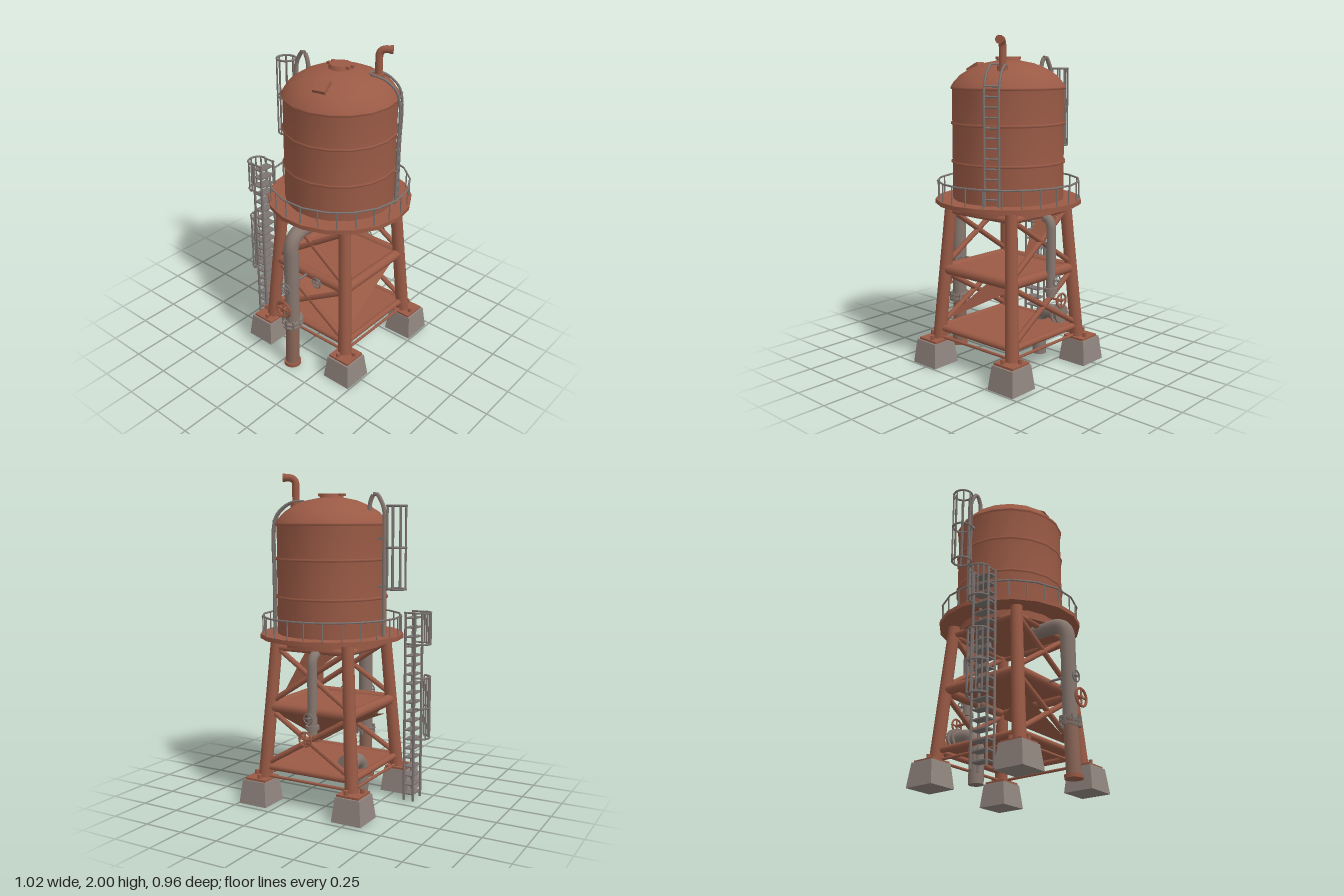
import * as THREE from 'three';

const mat = (name, color) => { const m = new THREE.MeshStandardMaterial({ color }); m.name = name; return m; };
const V = (x, y, z) => new THREE.Vector3(x, y, z);

export function createModel() {
  const rust = mat('rust', 0x9a5a45), pipe = mat('pipeGrey', 0x87776f);
  const stained = mat('stainedPipe', 0x8a6556);
  const steel = mat('steel', 0x7c7471), concrete = mat('concrete', 0x91857f);
  const sheet = mat('rustSheet', 0x9a5a45);
  sheet.side = THREE.DoubleSide;
  const root = new THREE.Group();
  root.name = 'waterTower';
  const CX = 0.07, CZ = -0.045;
  const C = (dx, y, dz) => V(CX + dx, y, CZ + dz);

  const add = (name, geo, m, pos) => {
    const o = new THREE.Mesh(geo, m);
    o.name = name;
    if (pos) o.position.copy(pos);
    root.add(o);
    return o;
  };
  const box = (name, w, h, d, m, pos) => add(name, new THREE.BoxGeometry(w, h, d), m, pos);
  // straight round bar between two points
  const bar = (name, a, b, r, m, seg = 6, r2 = r) => {
    const o = add(name, new THREE.CylinderGeometry(r2, r, a.distanceTo(b), seg), m, a.clone().lerp(b, 0.5));
    o.quaternion.setFromUnitVectors(V(0, 1, 0), b.clone().sub(a).normalize());
    return o;
  };
  // bent pipe through points, with rounded corners and closed ends
  const bent = (name, pts, r, m, fillet, seg = 12) => {
    const path = new THREE.CurvePath();
    let last = pts[0];
    for (let i = 1; i < pts.length - 1; i++) {
      const p = pts[i];
      const a = p.clone().add(pts[i - 1].clone().sub(p).setLength(fillet));
      const b = p.clone().add(pts[i + 1].clone().sub(p).setLength(fillet));
      path.add(new THREE.LineCurve3(last, a));
      path.add(new THREE.QuadraticBezierCurve3(a, p, b));
      last = b;
    }
    const n = pts.length - 1;
    path.add(new THREE.LineCurve3(last, pts[n]));
    add(name, new THREE.TubeGeometry(path, 48, r, seg), m);
    bar(name + 'Start', pts[0], pts[0].clone().lerp(pts[1], 0.01), r, m, seg);
    bar(name + 'End', pts[n], pts[n].clone().lerp(pts[n - 1], 0.01), r, m, seg);
  };
  const hoop = (name, r, t, m, pos, arc = Math.PI * 2, turn = 0, seg = 24) => {
    const o = add(name, new THREE.TorusGeometry(r, t, 6, seg, arc), m, pos);
    o.rotation.set(Math.PI / 2, 0, turn);
  };
  // eighteen-sided round part with corners on the x axis
  const lathe = (name, pts) =>
    add(name, new THREE.LatheGeometry(pts.map(p => new THREE.Vector2(...p)), 18, Math.PI / 2), rust, C(0, 0, 0));
  const disc = (name, r, h, y) =>
    add(name, new THREE.CylinderGeometry(r, r, h, 18, 1, false, Math.PI / 2), rust, C(0, y, 0));
  // valve wheel facing along z
  const wheel = (name, r, m, pos, len) => {
    add(name, new THREE.TorusGeometry(r, r * 0.15, 6, 16), m, pos);
    for (const d of [V(r, 0, 0), V(0, r, 0)])
      bar(name + 'Spoke', pos.clone().sub(d), pos.clone().add(d), r * 0.12, m);
    bar(name + 'Stem', pos.clone().add(V(0, 0, Math.sign(len) * -0.01)), pos.clone().add(V(0, 0, len)), r * 0.2, m, 8);
  };
  const panel = (name, ...p) => {
    const g = new THREE.BufferGeometry().setFromPoints(p);
    g.setIndex(p.length === 4 ? [0, 1, 2, 0, 2, 3] : [0, 1, 2]);
    g.computeVertexNormals();
    add(name, g, sheet);
  };

  // tank wall with rolled ribs, and domed roof
  const wall = [[0.336, 1.035]];
  for (const y of [1.27, 1.498, 1.705])
    wall.push([0.336, y - 0.01], [0.345, y - 0.006], [0.345, y + 0.006], [0.336, y + 0.01]);
  lathe('tankWall', wall);
  lathe('domeRoof', [[0.344, 1.708], [0.328, 1.735], [0.288, 1.778], [0.23, 1.814], [0.155, 1.845], [0.07, 1.862], [0, 1.866]]);
  // roof cap with clamps
  add('roofCap', new THREE.CylinderGeometry(0.065, 0.075, 0.03, 14), rust, C(0, 1.87, 0));
  for (const sx of [-1, 1]) for (const sz of [-1, 1]) box('capClamp', 0.022, 0.015, 0.02, rust, C(sx * 0.07, 1.878, sz * 0.018));
  const hatch = box('roofHatch', 0.08, 0.025, 0.085, rust, V(0.12, 1.82, 0.178));
  hatch.rotation.set(0.5, 0.18, -0.08);

  // platform, its underside and the railing
  disc('platform', 0.442, 0.026, 1.031);
  disc('platformBase', 0.31, 0.05, 0.995);
  hoop('railTop', 0.428, 0.006, steel, C(0, 1.152, 0), Math.PI * 2, 0, 18);
  for (let i = 0; i < 24; i++) {
    const a = (i + 0.5) / 24 * Math.PI * 2, x = Math.cos(a) * 0.425, z = Math.sin(a) * 0.425;
    bar('railPost', C(x, 1.04, z), C(x, 1.152, z), 0.0045, steel, 5);
  }

  // legs on concrete feet
  const half = y => 0.305 - (y - 0.15) * 0.069;
  const corner = (sx, y, sz) => C(sx * half(y), y, sz * half(y));
  for (const sx of [-1, 1]) for (const sz of [-1, 1]) {
    const foot = add('foot', new THREE.CylinderGeometry(0.08 * Math.SQRT2, 0.097 * Math.SQRT2, 0.148, 4, 1).toNonIndexed(), concrete, C(sx * 0.326, 0.074, sz * 0.32));
    foot.geometry.rotateY(Math.PI / 4);
    foot.geometry.computeVertexNormals();
    box('basePlate', 0.145, 0.014, 0.145, rust, C(sx * 0.322, 0.154, sz * 0.317));
    bar('leg', corner(sx, 0.155, sz), corner(sx, 1.02, sz), 0.041, rust, 14, 0.036);
    for (const [u, v] of [[0.05, -0.02], [-0.02, 0.05]])
      add('anchorBolt', new THREE.CylinderGeometry(0.014, 0.014, 0.03, 6), rust, C(sx * (0.322 + u), 0.172, sz * (0.317 + v)));
  }

  // horizontal beams on all four sides
  for (const [y, r] of [[0.167, 0.009], [0.225, 0.02], [0.6, 0.032], [0.965, 0.02]]) {
    for (const s of [-1, 1]) {
      bar('crossBeamX', corner(-1, y, s), corner(1, y, s), r, rust, 10);
      bar('crossBeamZ', corner(s, y, -1), corner(s, y, 1), r, rust, 10);
    }
  }
  // crossed braces on the front and the back
  for (const sz of [-1, 1]) for (const [y0, y1] of [[0.24, 0.58], [0.63, 0.97]]) for (const sx of [-1, 1])
    bar('brace', corner(sx, y0, sz), corner(-sx, y1, sz), 0.017, rust, 8);

  // decks and slanted sheets between the legs
  for (const y of [0.235, 0.612]) panel('deckSheet', corner(-1, y, -1), corner(-1, y, 1), corner(1, y, 1), corner(1, y, -1));
  panel('slantedSheet', corner(-0.85, 0.5, 0.92), corner(0.92, 0.275, 0.92), corner(0.92, 0.555, -0.9));
  panel('backSheet', corner(-0.85, 0.98, -1), corner(0.75, 0.66, -1), corner(0.1, 0.98, -1));

  // front main pipe with flanges and valves
  bent('frontPipe', [V(0.065, 0.34, 0.395), V(0.065, 0.945, 0.395), V(0.065, 0.945, 0.16)], 0.045, pipe, 0.11, 16);
  bar('frontPipeLower', V(0.065, 0.0, 0.405), V(0.065, 0.34, 0.395), 0.043, stained, 16);
  bar('frontPipeFoot', V(0.065, 0, 0.405), V(0.065, 0.022, 0.405), 0.054, rust, 16);
  for (const y of [0.315, 0.342]) {
    bar('frontFlange', V(0.065, y - 0.007, 0.393), V(0.065, y + 0.007, 0.397), 0.066, pipe, 16);
    for (let i = 0; i < 8; i++) {
      const a = i * Math.PI / 4;
      box('flangeBolt', 0.012, 0.03, 0.012, steel, V(0.065 + Math.cos(a) * 0.058, y, 0.395 + Math.sin(a) * 0.058));
    }
  }
  wheel('mainValve', 0.053, rust, V(0.065, 0.457, 0.472), -0.06);
  wheel('upperValve', 0.034, steel, V(0.06, 0.592, 0.447), -0.08);
  wheel('sideValve', 0.032, steel, V(0.17, 0.6, 0.29), -0.06);
  bar('valveRod', V(0.06, 0.6, 0.43), V(0.06, 0.6, 0.24), 0.008, steel);

  // back pipe with valves
  bent('backPipe', [V(0.03, 0.47, -0.35), V(0.03, 0.95, -0.35), V(0.03, 0.95, -0.18)], 0.029, pipe, 0.07);
  bar('backPipeFlange', V(0.03, 0.5, -0.35), V(0.03, 0.525, -0.35), 0.042, pipe, 14);
  wheel('backValve', 0.042, rust, V(0.03, 0.46, -0.432), 0.075);
  wheel('backUpperValve', 0.03, steel, V(0.03, 0.575, -0.398), 0.05);

  // low drain pipe
  bent('drainPipe', [V(-0.165, 0, -0.1), V(-0.165, 0.295, -0.1), V(-0.165, 0.295, -0.28)], 0.044, pipe, 0.1, 16);
  for (const z of [-0.235, -0.272]) bar('drainFlange', V(-0.165, 0.295, z), V(-0.165, 0.295, z - 0.012), 0.06, pipe, 16);

  // roof vent beside the rear ladder
  const ang = 0.47, out = (r, y, side = 0) =>
    C(Math.cos(ang) * r + Math.sin(ang) * side, y, -Math.sin(ang) * r + Math.cos(ang) * side);
  const vent = (d, y) => V(0.25 + d * 0.87, y, -0.165 - d * 0.5);
  bent('ventPipe', [vent(0, 1.78), vent(0, 1.978), vent(0.075, 1.978)], 0.022, rust, 0.045);
  bar('ventCollar', vent(0, 1.79), vent(0, 1.835), 0.032, rust, 14);
  bar('ventLip', vent(0.062, 1.978), vent(0.077, 1.978), 0.025, rust, 14);

  // rear ladder curving over the roof
  const side = 0.043;
  for (const s of [-1, 1]) {
    const pts = [[0.352, 1.04], [0.352, 1.4], [0.352, 1.69], [0.328, 1.765], [0.27, 1.82], [0.215, 1.842]];
    add('rearLadderRail', new THREE.TubeGeometry(new THREE.CatmullRomCurve3(pts.map(p => out(p[0], p[1], s * side))), 40, 0.0075, 6), steel);
  }
  for (let y = 1.085; y < 1.74; y += 0.058) bar('rearLadderRung', out(0.352, y, -side), out(0.352, y, side), 0.006, steel, 5);
  hoop('rearLadderTopLoop', side, 0.007, steel, out(0.215, 1.842), Math.PI, Math.PI / 2 - ang);

  // side overflow pipe hooked over the roof
  bent('overflowPipe', [V(-0.298, 1.04, -0.07), V(-0.298, 1.8, -0.07), V(-0.24, 1.9, -0.07), V(-0.2, 1.84, -0.07), V(-0.2, 1.77, -0.07)], 0.013, pipe, 0.045, 8);
  for (const y of [1.34, 1.62]) box('overflowBracket', 0.06, 0.016, 0.02, steel, V(-0.28, y, -0.07));

  // safety cages: hoops joined by upright bars
  const cage = (name, cx, cz, r, ys, from, to, n) => {
    for (const y of ys) hoop(name + 'Hoop', r, 0.0065, steel, V(cx, y, cz), to - from, from);
    for (let i = 0; i < n; i++) {
      const a = from + (to - from) * i / n, x = cx + Math.cos(a) * r, z = cz + Math.sin(a) * r;
      bar(name + 'Bar', V(x, ys[0], z), V(x, ys[ys.length - 1], z), 0.0055, steel, 5);
    }
  };
  cage('upperCage', -0.375, -0.067, 0.058, [1.33, 1.57, 1.81], 0, Math.PI * 2, 8);
  for (const ys of [[0.4, 0.59, 0.78], [0.985, 1.175]])
    cage('lowerCage', -0.443, 0.14, 0.063, ys, Math.PI / 2, Math.PI * 1.5, 6);

  // ground ladder with flat treads
  for (const x of [-0.43, -0.368]) for (const z of [0.085, 0.195])
    bar('ladderPost', V(x, 0, z), V(x, 1.18, z), 0.008, steel, 6);
  for (let y = 0.04; y < 1.17; y += 0.058) box('ladderTread', 0.062, 0.008, 0.11, steel, V(-0.399, y, 0.14));
  for (const y of [0.985, 1.175]) for (const z of [0.085, 0.195]) bar('ladderTie', V(-0.443, y, z), V(-0.36, y, z), 0.006, steel, 5);

  return root;
}
